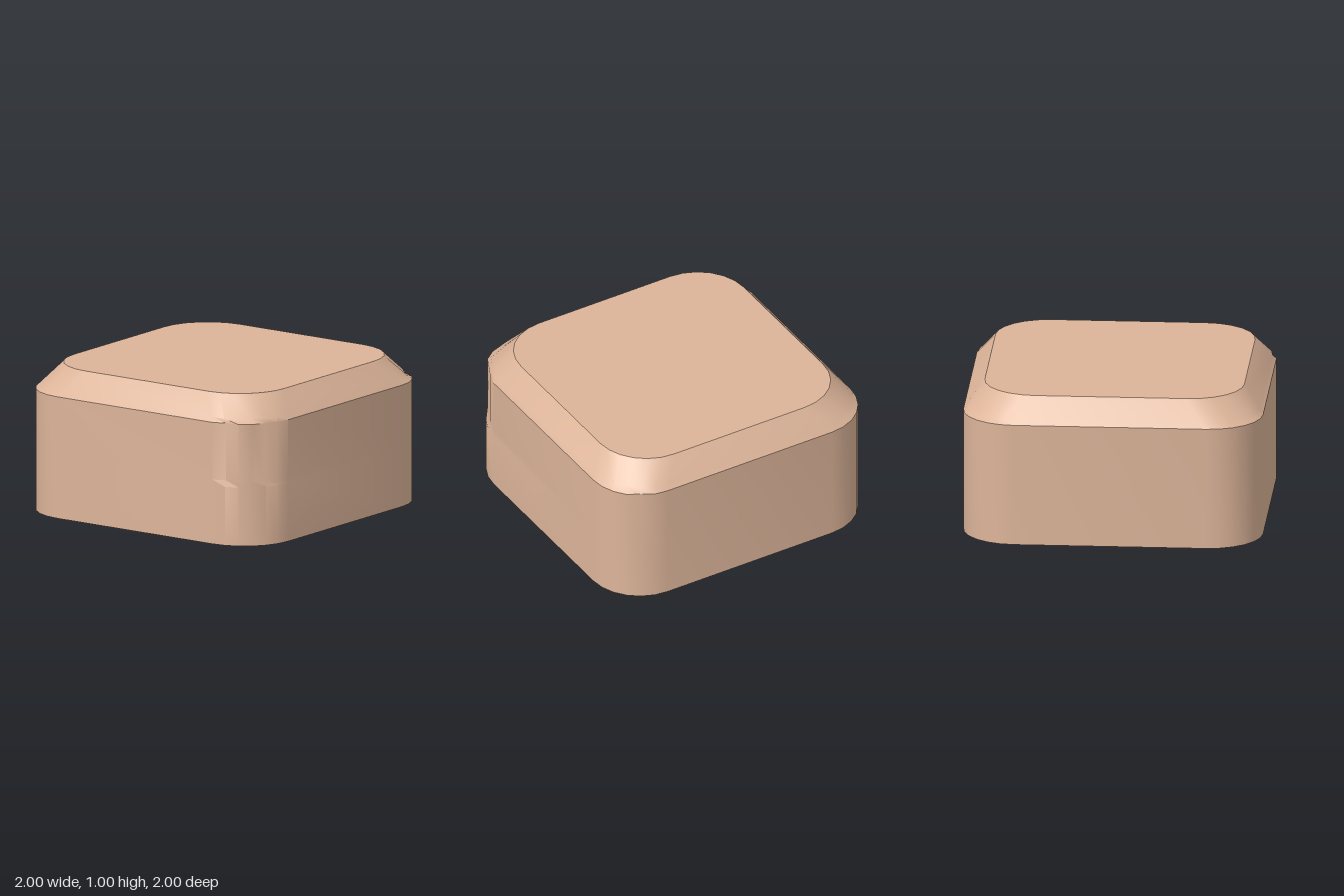
import * as THREE from 'three';
import { toCreasedNormals } from 'three/addons/utils/BufferGeometryUtils.js';

const SEGS = 6; // facets per rounded corner

// One level of the block: height, half width, corner radius
const LEVELS = [
  [0, 1, 0.36],
  [0.4, 1, 0.36],
  [0.44, 1, 0.36],
  [0.83, 1, 0.36],
  [0.86, 0.976, 0.36],
  [0.983, 0.882, 0.37],
  [1, 0.866, 0.356],
];

// Shallow chips in the corners: corner, column, level, depth
const CHIPS = [
  [0, 1, 2, 0.015], [0, 2, 2, 0.02], [0, 1, 3, 0.015], [0, 2, 3, 0.02],
  [0, 5, 2, 0.02], [0, 5, 3, 0.02],
  [3, 2, 3, 0.015],
  [1, 3, 4, 0.02], [1, 1, 4, 0.015], [0, 4, 4, 0.015],
  [2, 2, 4, 0.015], [2, 4, 4, 0.02], [3, 3, 4, 0.02], [3, 5, 4, 0.015],
];

function chipDepth(corner, column, level) {
  const chip = CHIPS.find((c) => c[0] === corner && c[1] === column && c[2] === level);
  return chip ? chip[3] : 0;
}

// Rounded-square ring of points at one level
function ring([y, half, radius], level) {
  const points = [];
  for (let corner = 0; corner < 4; corner++) {
    const mid = (corner + 0.5) * Math.PI / 2;
    const cx = Math.sign(Math.cos(mid)) * (half - radius);
    const cz = Math.sign(Math.sin(mid)) * (half - radius);
    for (let i = 0; i <= SEGS; i++) {
      const a = (corner + i / SEGS) * Math.PI / 2;
      const r = radius - chipDepth(corner, i, level);
      points.push([cx + r * Math.cos(a), y, cz + r * Math.sin(a)]);
    }
  }
  return points;
}

function blockGeometry() {
  const rings = LEVELS.map(ring);
  const n = rings[0].length;
  const pos = [];
  const tri = (a, b, c) => pos.push(...a, ...b, ...c);
  const bottom = rings[0], top = rings[rings.length - 1];
  for (let i = 0; i < n; i++) {
    const j = (i + 1) % n;
    // Walls and bevel
    for (let k = 0; k < rings.length - 1; k++) {
      const lo = rings[k], hi = rings[k + 1];
      tri(lo[i], hi[i], hi[j]);
      tri(lo[i], hi[j], lo[j]);
    }
    // Flat top and base
    tri([0, 1, 0], top[j], top[i]);
    tri([0, 0, 0], bottom[i], bottom[j]);
  }
  const geometry = new THREE.BufferGeometry();
  geometry.setAttribute('position', new THREE.Float32BufferAttribute(pos, 3));
  return toCreasedNormals(geometry, THREE.MathUtils.degToRad(28));
}

export function createModel() {
  const group = new THREE.Group();
  group.name = 'bevelledBlock';
  const block = new THREE.Mesh(
    blockGeometry(),
    new THREE.MeshStandardMaterial({ color: 0xdcb499 })
  );
  block.name = 'block';
  group.add(block);
  return group;
}
